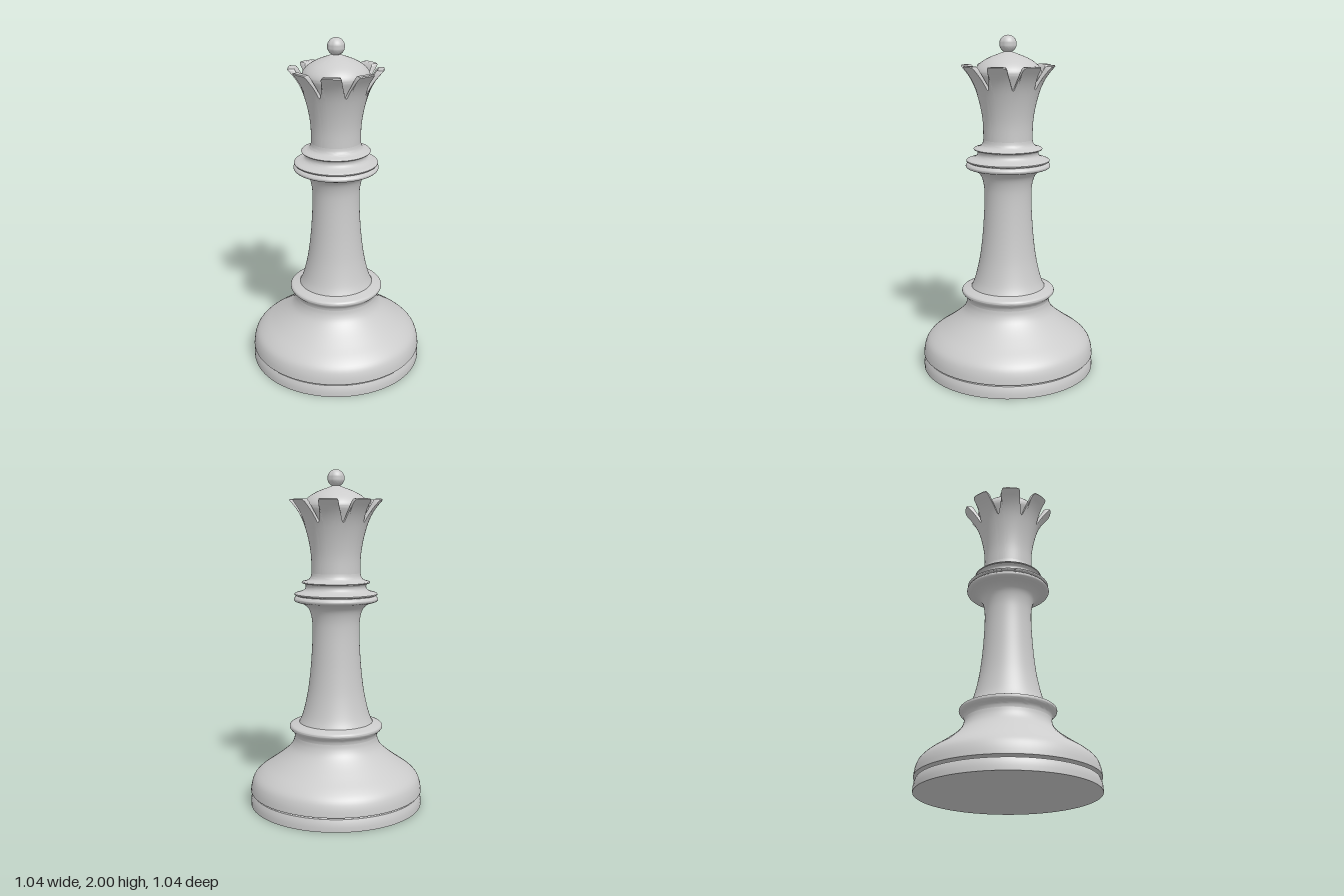
import * as THREE from 'three';
import { toCreasedNormals } from 'three/addons/utils/BufferGeometryUtils.js';

const SEGMENTS = 72;
const material = new THREE.MeshStandardMaterial({ color: 0xcccccc });
const solid = new THREE.MeshStandardMaterial({ color: 0xcccccc, side: THREE.DoubleSide });

const vectors = (pairs) => pairs.map(([r, y]) => new THREE.Vector2(r, y));
const smooth = (pairs, n) =>
  new THREE.SplineCurve(vectors(pairs)).getPoints(n).map((p) => [Math.max(p.x, 0), p.y]);

function addMesh(group, name, geometry, mat = material) {
  const mesh = new THREE.Mesh(toCreasedNormals(geometry, 0.6), mat);
  mesh.name = name;
  group.add(mesh);
  return mesh;
}

// Turned part: profile of [radius, height] pairs from bottom to top
const turned = (group, name, profile) =>
  addMesh(group, name, new THREE.LatheGeometry(vectors(profile), SEGMENTS), solid);

// Crown wall: each angle has its own rim height, so the notches form between eight points
function crownGeometry() {
  const half = [[0, 1.83], [4, 1.83], [8, 1.83], [11, 1.828], [12.6, 1.818], [13.4, 1.80],
    [15, 1.775], [17, 1.75], [19, 1.725], [20.5, 1.708], [22.5, 1.70]];
  const period = [...half.slice(1).reverse().map(([a, y]) => [-a, y]), ...half.slice(0, -1)];
  const outer = new THREE.SplineCurve(vectors([[0.145, 1.40], [0.147, 1.5], [0.163, 1.6],
    [0.192, 1.70], [0.225, 1.765], [0.252, 1.80], [0.278, 1.83]])).getPoints(60);
  const outerRadius = (y) => {
    const i = Math.max(1, outer.findIndex((p) => p.y >= y - 1e-6));
    const a = outer[i - 1], b = outer[i];
    return a.x + ((b.x - a.x) * (y - a.y)) / (b.y - a.y);
  };
  const innerRadius = (y) => 0.16 + 0.075 * ((y - 1.69) / 0.14);

  // Cross-section from the foot, over the rim and down to the inner floor
  const section = (top) => {
    const pts = [];
    for (let i = 0; i <= 14; i++) {
      const y = 1.4 + (top - 0.006 - 1.4) * (i / 14);
      pts.push([outerRadius(y), y]);
    }
    pts.push([outerRadius(top) - 0.008, top]);
    pts.push([innerRadius(top) + 0.004, top]);
    for (let i = 0; i <= 5; i++) {
      const y = top - 0.004 + (1.685 - top) * (i / 5);
      pts.push([innerRadius(y), y]);
    }
    return pts;
  };

  const positions = [], index = [];
  const columns = [];
  for (let k = 0; k < 8; k++) {
    for (const [a, top] of period) columns.push([27 + 45 * k + a, top]);
  }
  let rows = 0;
  for (const [degrees, top] of columns) {
    const t = THREE.MathUtils.degToRad(degrees);
    const pts = section(top);
    rows = pts.length;
    for (const [r, y] of pts) positions.push(r * Math.cos(t), y, -r * Math.sin(t));
  }
  for (let c = 0; c < columns.length; c++) {
    const d = (c + 1) % columns.length;
    for (let j = 0; j < rows - 1; j++) {
      const p = c * rows + j, q = d * rows + j;
      index.push(p, q, q + 1, p, q + 1, p + 1);
    }
  }
  const geometry = new THREE.BufferGeometry();
  geometry.setAttribute('position', new THREE.Float32BufferAttribute(positions, 3));
  geometry.setIndex(index);
  return geometry;
}

export function createModel() {
  const group = new THREE.Group();
  group.name = 'chessQueen';

  // Foot disc, separated from the body by a thin gap
  turned(group, 'footDisc', [[0, 0], [0.52, 0], [0.52, 0.025], [0.516, 0.05], [0.508, 0.07], [0, 0.07]]);

  // Bell-shaped base
  turned(group, 'base', [[0, 0.083], [0.52, 0.083],
    ...smooth([[0.52, 0.084], [0.513, 0.13], [0.495, 0.172], [0.455, 0.21], [0.39, 0.255],
      [0.32, 0.308], [0.275, 0.352], [0.255, 0.39], [0.25, 0.42]], 28)]);

  // Lower ring
  turned(group, 'lowerRing', [[0.25, 0.415],
    ...smooth([[0.25, 0.42], [0.256, 0.442], [0.274, 0.46], [0.281, 0.473], [0.275, 0.487],
      [0.25, 0.495], [0.222, 0.503]], 18)]);

  // Slender waisted shaft
  turned(group, 'shaft', smooth([[0.222, 0.50], [0.203, 0.545], [0.183, 0.62], [0.166, 0.71],
    [0.152, 0.83], [0.143, 0.96], [0.14, 1.06], [0.144, 1.13], [0.16, 1.185], [0.19, 1.215],
    [0.225, 1.228]], 36));

  // Double collar
  turned(group, 'collar', [
    ...smooth([[0.222, 1.227], [0.243, 1.234], [0.25, 1.246], [0.243, 1.258], [0.23, 1.265]], 12),
    ...smooth([[0.23, 1.267], [0.243, 1.27], [0.246, 1.278], [0.235, 1.285], [0.205, 1.293],
      [0.185, 1.305], [0.179, 1.322], [0.184, 1.334], [0.2, 1.341]], 20),
    [0.203, 1.346], [0.198, 1.351],
    ...smooth([[0.18, 1.355], [0.16, 1.364], [0.149, 1.38], [0.145, 1.40]], 8)]);

  // Flaring crown with eight points
  addMesh(group, 'crown', crownGeometry(), solid);

  // Domed cap inside the crown
  turned(group, 'cap', [[0, 1.70], [0.165, 1.70],
    ...smooth([[0.178, 1.74], [0.192, 1.775], [0.193, 1.797], [0.18, 1.822], [0.15, 1.85],
      [0.105, 1.875], [0.055, 1.894], [0.02, 1.907], [0, 1.91]], 24)]);

  // Finial ball
  addMesh(group, 'finial', new THREE.SphereGeometry(0.05, 32, 20)).position.y = 1.95;

  return group;
}
